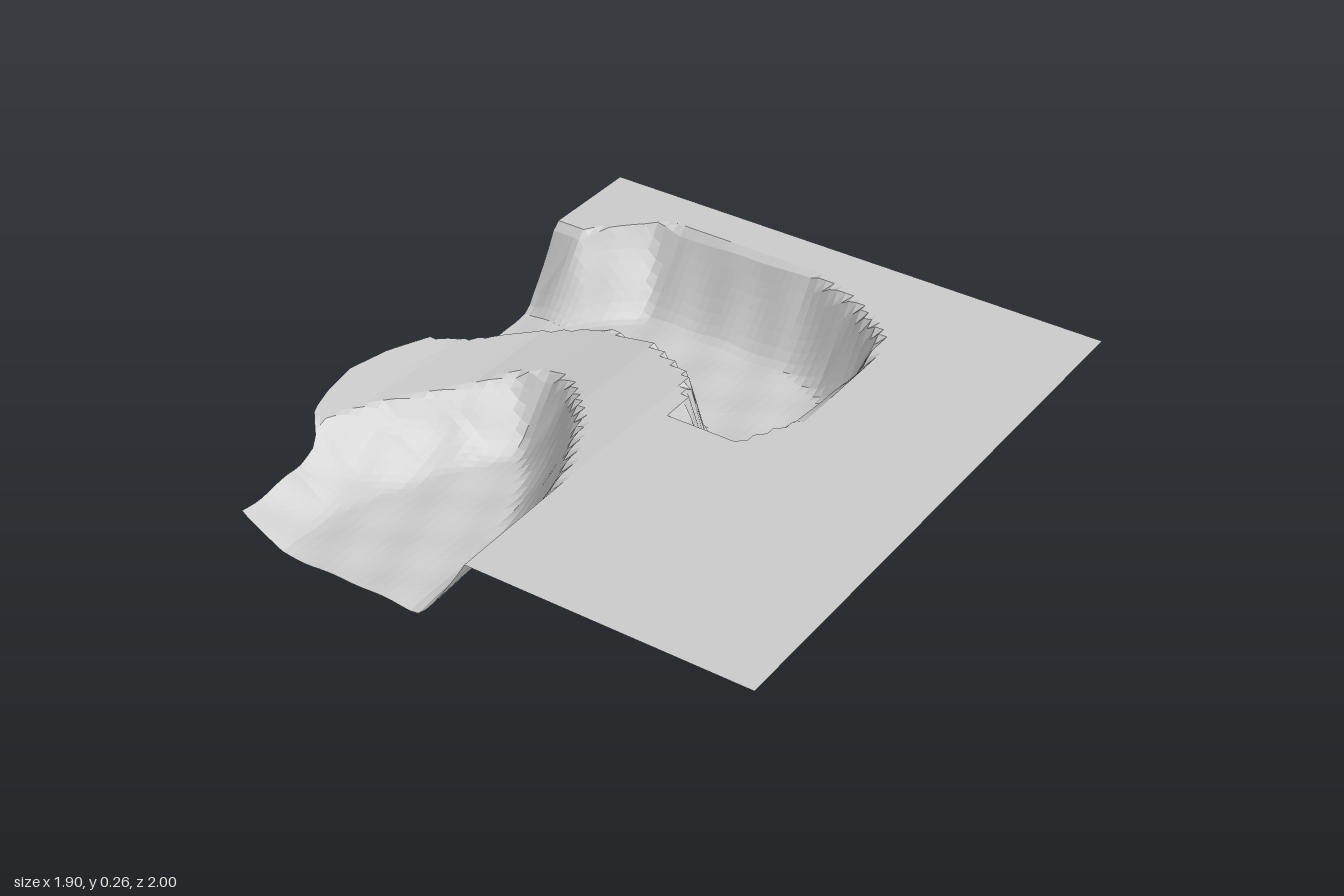
import * as THREE from 'three';

const TOP = 0.27;
const FLOOR = 0.018;

// Valley rims: [x, z, horizontal width of the wall below the edge that starts here]
const backValley = [
  [-1.3, -0.63, 0.18], [-0.78, -0.63, 0.2], [-0.6, -0.82, 0.2], [-0.5, -0.84, 0.21],
  [0, -0.83, 0.19], [0.2, -0.76, 0.17], [0.36, -0.64, 0.14], [0.4, -0.5, 0.13],
  [0.39, -0.1, 0.11], [0.3, 0.08, 0.04], [0.08, 0.08, 0.05], [0.08, 0, 0.06],
  [0, -0.13, 0.06], [-0.2, -0.24, 0.06], [-0.4, -0.27, 0.06], [-0.6, -0.18, 0.06],
  [-0.75, -0.03, 0.06], [-0.85, 0.05, 0.06], [-1.3, 0.07, 9],
];
backValley[backValley.length - 1][2] = 1e-3; // outside the ground, never reached

const frontValley = [
  [0, 1.5, 0.19], [0, 0.6, 0.19], [-0.05, 0.45, 0.18], [-0.15, 0.25, 0.17],
  [-0.28, 0.1, 0.17], [-0.4, 0.03, 0.17], [-0.51, 0.08, 0.18], [-0.64, 0.25, 0.2],
  [-0.77, 0.42, 0.22], [-0.86, 0.62, 0.24], [-0.92, 0.72, 0.24], [-0.92, 1.5, 0.001],
];

// Piecewise linear lookup in a list of [key, value]
function lookup(points, k) {
  if (k <= points[0][0]) return points[0][1];
  for (let i = 1; i < points.length; i++) {
    const [k0, v0] = points[i - 1], [k1, v1] = points[i];
    if (k <= k1) return v0 + (v1 - v0) * (k - k0) / (k1 - k0);
  }
  return points[points.length - 1][1];
}

// Crest height of the ridge between the valleys, and the ragged left border
const crest = [[-0.95, 0.205], [-0.8, 0.19], [-0.6, 0.19], [-0.4, 0.22], [-0.2, 0.255], [0, TOP]];
const leftBorder = [
  [-1, -0.87], [-0.5, -0.875], [-0.2, -0.85], [0, -0.84], [0.1, -0.88], [0.2, -0.92],
  [0.35, -0.95], [0.48, -0.93], [0.58, -0.9], [0.66, -0.83], [1, -0.83],
];

function inside(poly, x, z) {
  let hit = false;
  for (let i = 0, j = poly.length - 1; i < poly.length; j = i++) {
    const [xi, zi] = poly[i], [xj, zj] = poly[j];
    if ((zi > z) !== (zj > z) && x < (xj - xi) * (z - zi) / (zj - zi) + xi) hit = !hit;
  }
  return hit;
}

// 0 on the rim or outside, 1 on the valley floor
function depth(poly, x, z) {
  if (!inside(poly, x, z)) return 0;
  let t = 1;
  poly.forEach(([ax, az, width], i) => {
    const [bx, bz] = poly[(i + 1) % poly.length];
    const dx = bx - ax, dz = bz - az;
    const s = THREE.MathUtils.clamp(((x - ax) * dx + (z - az) * dz) / (dx * dx + dz * dz), 0, 1);
    t = Math.min(t, Math.hypot(x - ax - s * dx, z - az - s * dz) / width);
  });
  return 1 - Math.pow(1 - t, 1.35);
}

function height(x, z) {
  const bump = Math.sin(x * 23 + z * 9) * Math.sin(z * 19 - x * 7);
  const ridge = z > -0.45 ? lookup(crest, x) : TOP;
  const d = Math.max(depth(backValley, x, z), depth(frontValley, x, z));
  const rough = bump * (0.006 * d + 0.03 * d * (1 - d));
  return Math.max(0, ridge + (FLOOR - ridge) * d + rough);
}

export function createModel() {
  const group = new THREE.Group();
  group.name = 'terrain';

  // Ground sheet with two carved valleys and the ridge between them
  const geo = new THREE.PlaneGeometry(1.9, 2, 64, 68).rotateX(-Math.PI / 2);
  const pos = geo.attributes.position;
  for (let i = 0; i < pos.count; i++) {
    let x = pos.getX(i);
    const z = pos.getZ(i);
    if (x < -0.7) x = -0.7 + (x + 0.7) * (lookup(leftBorder, z) + 0.7) / -0.25;
    pos.setXYZ(i, x, height(x, z), z);
  }
  // Rest the lowest point on y = 0
  geo.computeBoundingBox();
  geo.translate(0, -geo.boundingBox.min.y, 0);
  geo.computeVertexNormals();

  const ground = new THREE.Mesh(geo, new THREE.MeshStandardMaterial({
    color: 0xcccccc, flatShading: true, side: THREE.DoubleSide,
  }));
  ground.name = 'ground';
  group.add(ground);
  return group;
}
